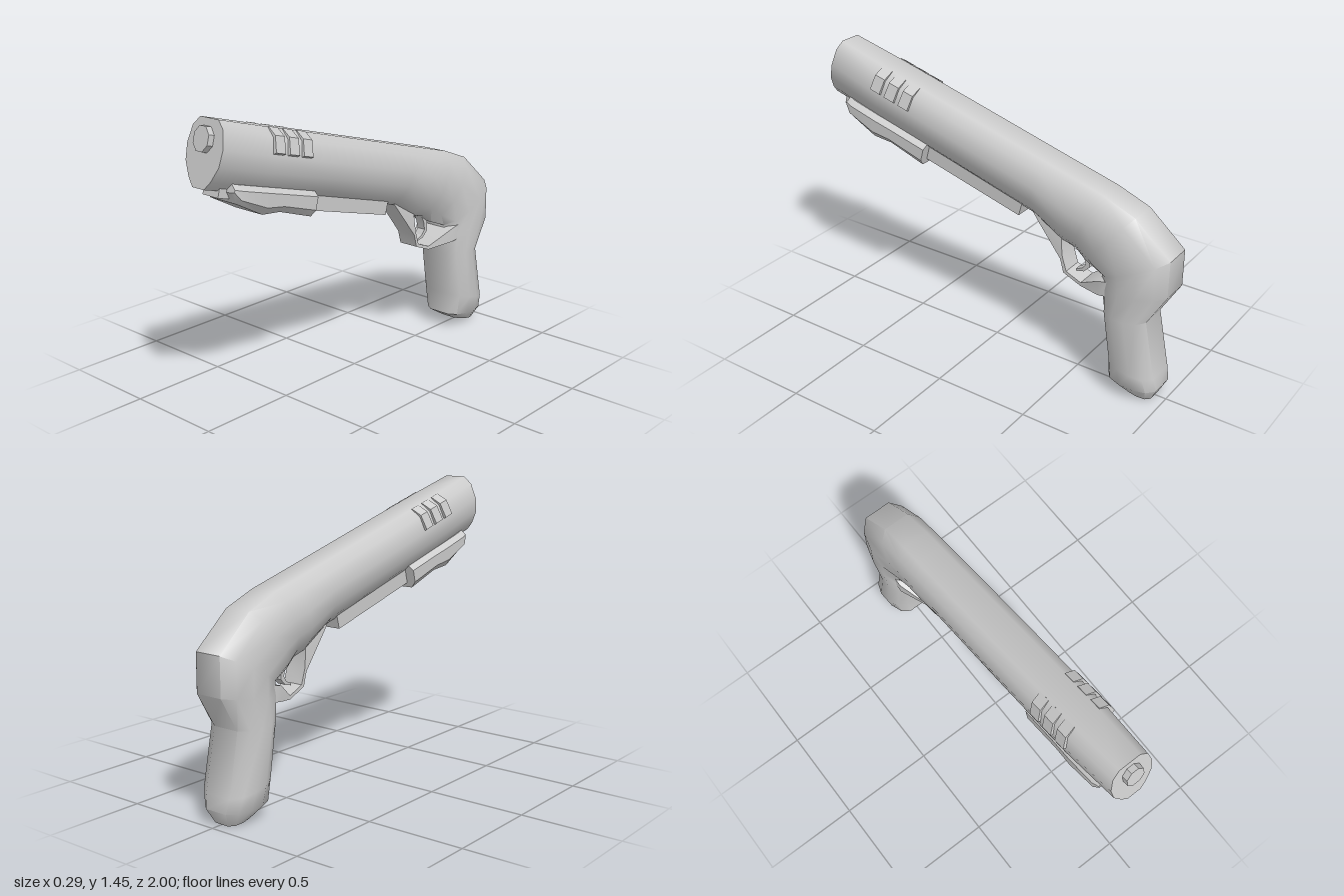
import * as THREE from 'three';
import { toCreasedNormals } from 'three/addons/utils/BufferGeometryUtils.js';

const material = new THREE.MeshStandardMaterial({ color: 0xcccccc });
const TILT = Math.acos(0.26);

// Barrel frame: s runs back from the muzzle, h runs down from the top line.
const onBarrel = (x, s, h) =>
  new THREE.Vector3(x, 1.45 - 0.26 * s - 0.966 * h, 0.92 - 0.966 * s + 0.26 * h);

// Skin a list of equal-length closed rings and cap both ends.
function loft(rings, crease) {
  const n = rings[0].length;
  const points = rings.flat();
  const index = [];
  for (let i = 0; i < rings.length - 1; i++) {
    for (let j = 0; j < n; j++) {
      const a = i * n + j, b = i * n + (j + 1) % n;
      index.push(a, b, b + n, a, b + n, a + n);
    }
  }
  [0, rings.length - 1].forEach((r, end) => {
    const centre = new THREE.Vector3();
    rings[r].forEach((p) => centre.addScaledVector(p, 1 / n));
    points.push(centre);
    const c = points.length - 1;
    for (let j = 0; j < n; j++) {
      const a = r * n + j, b = r * n + (j + 1) % n;
      if (end) index.push(a, b, c);
      else index.push(b, a, c);
    }
  });
  // Turn the faces outward whichever way the rings run.
  let volume = 0;
  const cross = new THREE.Vector3();
  for (let i = 0; i < index.length; i += 3) {
    cross.crossVectors(points[index[i + 1]], points[index[i + 2]]);
    volume += points[index[i]].dot(cross);
  }
  if (volume < 0) index.reverse();
  const geometry = new THREE.BufferGeometry().setFromPoints(points);
  geometry.setIndex(index);
  return toCreasedNormals(geometry, crease);
}

// Half outline to a full mirrored ring.
const mirrorRing = (half, place) => [
  ...half.map(([x, h]) => place(x, h)),
  ...half.slice().reverse().map(([x, h]) => place(-x, h)),
];

// Rectangular strip: stations are [outerZ, outerY, innerZ, innerY, halfWidth].
const strip = (stations) => loft(stations.map(([z, y, z2, y2, w]) => [
  new THREE.Vector3(w, y, z), new THREE.Vector3(w, y2, z2),
  new THREE.Vector3(-w, y2, z2), new THREE.Vector3(-w, y, z),
]), 0.5);

export function createModel() {
  const group = new THREE.Group();
  const add = (name, geometry) => {
    const mesh = new THREE.Mesh(geometry, material);
    mesh.name = name;
    group.add(mesh);
    return mesh;
  };

  // Body and grip: [backZ, backY, frontZ, frontY, halfWidth, gripBlend]
  const stations = [
    [0.92, 1.45, 1.0, 1.155, 0.115, 0],
    [0.62, 1.369, 0.70, 1.075, 0.135, 0],
    [0.2, 1.256, 0.28, 0.962, 0.138, 0],
    [-0.33, 1.113, -0.25, 0.815, 0.138, 0],
    [-0.52, 1.062, -0.41, 0.72, 0.138, 0],
    [-0.64, 1.03, -0.49, 0.70, 0.138, 0.1],
    [-0.81, 0.965, -0.55, 0.655, 0.14, 0.4],
    [-1.0, 0.8, -0.65, 0.615, 0.145, 0.8],
    [-1.0, 0.61, -0.655, 0.56, 0.146, 1],
    [-0.9, 0.44, -0.67, 0.45, 0.142, 1],
    [-0.96, 0.14, -0.71, 0.2, 0.145, 1],
    [-0.975, 0.07, -0.71, 0.08, 0.125, 1],
    [-0.94, 0, -0.79, 0.03, 0.08, 1],
  ];
  const barrelHalf = [[0.5, 0], [0.84, 0.13], [1, 0.4], [0.93, 0.65], [0.62, 0.87], [0.32, 1]];
  const gripHalf = [[0.5, 0], [0.85, 0.14], [1, 0.38], [1, 0.65], [0.82, 0.88], [0.48, 1]];
  const lerp = THREE.MathUtils.lerp;
  add('body', loft(stations.map(([z, y, z2, y2, w, k]) => {
    const half = barrelHalf.map(([x, t], i) =>
      [w * lerp(x, gripHalf[i][0], k), lerp(t, gripHalf[i][1], k)]);
    return mirrorRing(half, (x, t) => new THREE.Vector3(x, lerp(y, y2, t), lerp(z, z2, t)));
  }), 0.85));

  // Muzzle plug
  const plug = add('muzzlePlug', toCreasedNormals(
    new THREE.CylinderGeometry(0.05, 0.053, 0.06, 8, 1, false, Math.PI / 8), 0.6));
  plug.position.copy(onBarrel(0, 0, 0.092));
  plug.rotation.x = TILT;
  plug.scale.z = 1.2;

  // Three raised ribs on each side near the muzzle
  const ribHalf = [[0.07, -0.002], [0.122, 0.03], [0.147, 0.105], [0.12, 0.12], [0.06, 0.03]];
  for (const side of [1, -1]) {
    for (const s of [0.285, 0.375, 0.465]) {
      add('rib', loft([s, s + 0.06].map((at) =>
        ribHalf.map(([x, h]) => onBarrel(side * x, at, h))), 0.3));
    }
  }

  // Sliding fore-end: [s, bottom, halfWidth]
  const foreEnd = [
    [0.12, 0.305, 0.1], [0.157, 0.351, 0.112], [0.322, 0.39, 0.115],
    [0.431, 0.373, 0.112], [0.643, 0.386, 0.112],
  ];
  add('foreEnd', loft(foreEnd.map(([s, bottom, w]) => mirrorRing(
    [[w * 0.75, 0.265], [w, 0.288], [w, lerp(0.288, bottom, 0.65)], [w * 0.76, bottom]],
    (x, h) => onBarrel(x, s, h))), 0.6));

  // Rail under the barrel and the tab ahead of the fore-end
  const barrelBox = (name, s0, s1, h0, h1, w) => add(name, loft([s0, s1].map((s) =>
    mirrorRing([[w, h0], [w, h1]], (x, h) => onBarrel(x, s, h))), 0.3));
  barrelBox('rail', 0.6, 1.225, 0.28, 0.362, 0.06);
  barrelBox('frontTab', 0.076, 0.16, 0.29, 0.335, 0.05);

  // Trigger guard, flaring into the grip
  add('triggerGuard', strip([
    [-0.24, 0.83, -0.41, 0.74, 0.05],
    [-0.27, 0.79, -0.412, 0.7, 0.052],
    [-0.41, 0.615, -0.422, 0.63, 0.055],
    [-0.43, 0.545, -0.446, 0.557, 0.055],
    [-0.53, 0.505, -0.53, 0.523, 0.057],
    [-0.66, 0.533, -0.66, 0.608, 0.12],
    [-0.72, 0.54, -0.72, 0.62, 0.12],
  ]));

  // Curved trigger
  add('trigger', strip([
    [-0.49, 0.72, -0.54, 0.7, 0.025],
    [-0.525, 0.655, -0.553, 0.65, 0.025],
    [-0.535, 0.61, -0.557, 0.6, 0.024],
    [-0.515, 0.583, -0.525, 0.568, 0.022],
    [-0.48, 0.567, -0.483, 0.557, 0.02],
  ]));

  return group;
}
